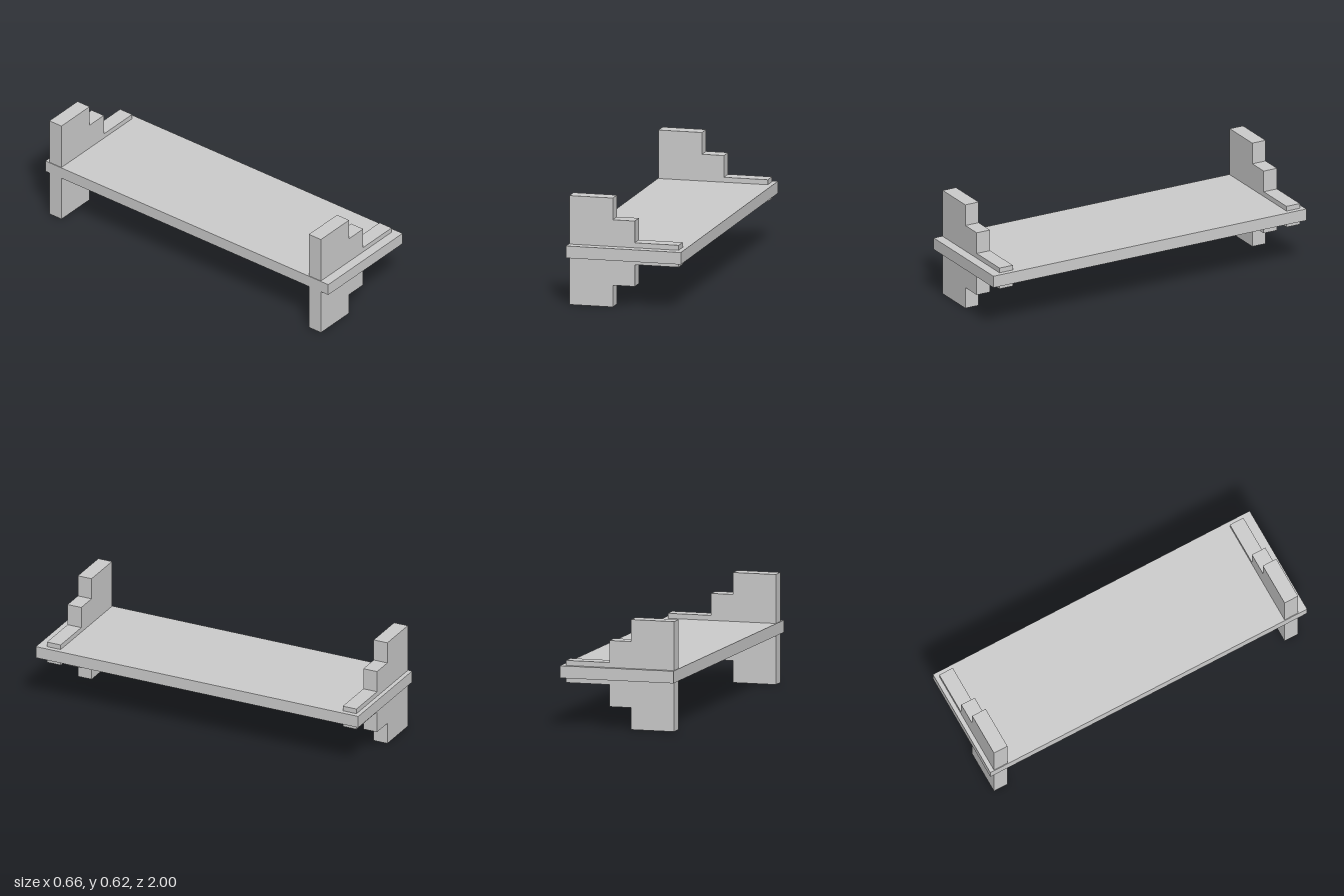
import * as THREE from 'three';

export function createModel() {
  const group = new THREE.Group();
  const material = new THREE.MeshStandardMaterial({ color: 0xcccccc, flatShading: true });

  // Long flat board
  const shelf = new THREE.Mesh(new THREE.BoxGeometry(0.66, 0.068, 2), material);
  shelf.name = 'shelfBoard';
  shelf.position.y = 0.308;
  group.add(shelf);

  // Stepped bracket outline, mirrored about the board's mid height
  const midY = 0.308;
  const upper = [[0.302, 0.062], [0.05, 0.062], [0.05, 0.185], [-0.076, 0.185], [-0.076, 0.308], [-0.326, 0.308]];
  const lower = upper.map(([x, y]) => [x, -y]).reverse();
  const outline = [...upper, ...lower].map(([x, y]) => new THREE.Vector2(x, midY + y));
  const depth = 0.085;
  const bracketGeometry = new THREE.ExtrudeGeometry(new THREE.Shape(outline), { depth, bevelEnabled: false });

  // One bracket crossing the board near each end
  for (const [name, z] of [['frontBracket', 0.86], ['backBracket', -0.975]]) {
    const bracket = new THREE.Mesh(bracketGeometry, material);
    bracket.name = name;
    bracket.position.z = z;
    group.add(bracket);
  }
  return group;
}
